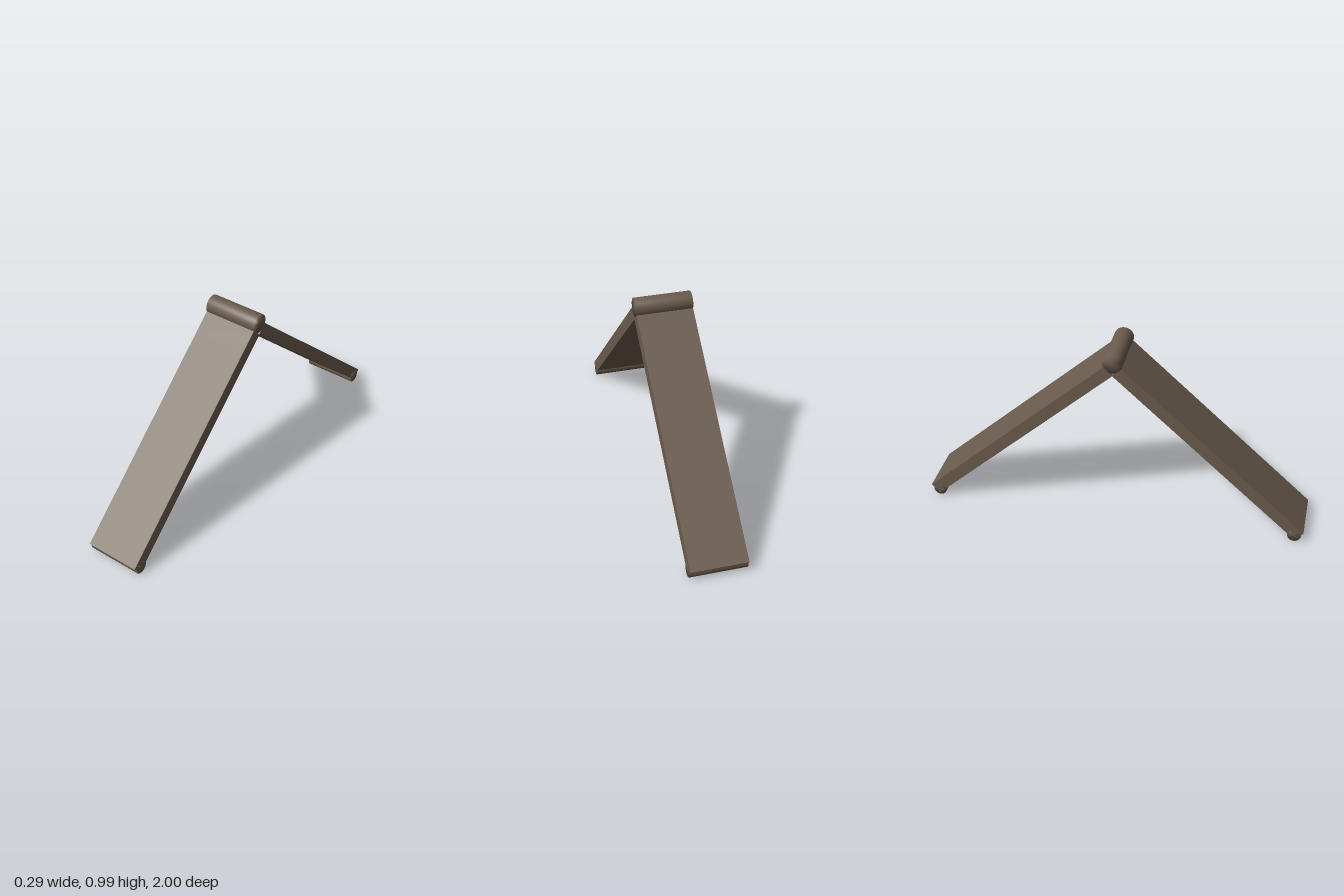
import * as THREE from 'three';
import { mergeVertices } from 'three/addons/utils/BufferGeometryUtils.js';

const WIDTH = 0.29;
const THICKNESS = 0.064;
const LEAF = 0.122; // length of the short leaf next to the hinge
const material = new THREE.MeshStandardMaterial({ color: 0x6b5c4e });

// Round bar lying along x, with normals blended over its rims
function bar(name, radius, y, z) {
  let geometry = new THREE.CylinderGeometry(radius, radius, WIDTH, 32);
  geometry.deleteAttribute('normal');
  geometry.deleteAttribute('uv');
  geometry = mergeVertices(geometry);
  geometry.computeVertexNormals();
  geometry.rotateZ(Math.PI / 2);
  const mesh = new THREE.Mesh(geometry, material);
  mesh.name = name;
  mesh.position.set(0, y, z);
  return mesh;
}

// One sloping side: hinge leaf, long panel and rounded foot
function createSide(name) {
  const side = new THREE.Group();
  side.name = name;

  // Upper face of the panel, from the hinge down to the outer end
  const top = new THREE.Vector2(0.043, 0.917);
  const end = new THREE.Vector2(1, 0.055);
  const length = top.distanceTo(end);
  const slope = new THREE.Group();
  slope.name = 'slope';
  slope.position.set(0, top.y, top.x);
  slope.rotation.x = Math.atan2(top.y - end.y, end.x - top.x);

  const slab = (slabName, from, to) => {
    const mesh = new THREE.Mesh(new THREE.BoxGeometry(WIDTH, THICKNESS, to - from), material);
    mesh.name = slabName;
    mesh.position.set(0, -THICKNESS / 2, (from + to) / 2);
    slope.add(mesh);
  };
  slab('hingeLeaf', 0, LEAF);
  slab('panel', LEAF, length);

  side.add(slope, bar('foot', 0.035, 0.035, 0.953));
  return side;
}

export function createModel() {
  const model = new THREE.Group();
  model.name = 'foldingStand';

  const front = createSide('frontSide');
  const back = createSide('backSide');
  back.rotation.y = Math.PI;

  // Hinge pin along the ridge
  model.add(front, back, bar('hingePin', 0.05, 0.935, 0));
  return model;
}
